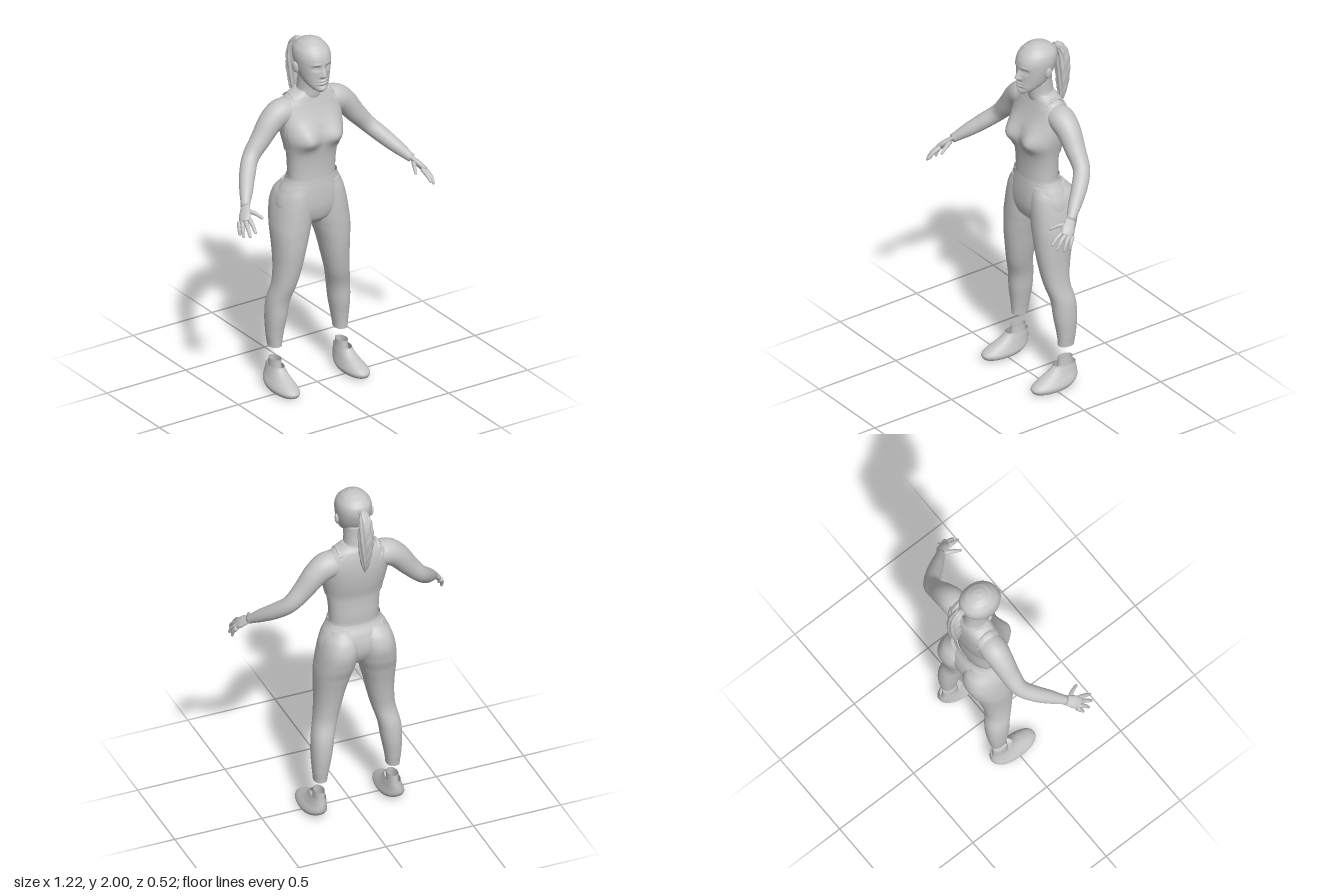
import * as THREE from 'three';

const grey = new THREE.MeshStandardMaterial({ color: 0xc6c6c6, side: THREE.DoubleSide });
grey.name = 'plain grey';

const V = (x, y, z) => new THREE.Vector3(x, y, z);
const bump = (d, r) => Math.exp(-(d * d) / (r * r));
const pow = (v, p) => Math.sign(v) * Math.abs(v) ** p;

function catmull(a, b, c, d, t) {
  return 0.5 * (2 * b + (c - a) * t + (2 * a - 5 * b + 4 * c - d) * t * t + (3 * b - a - 3 * c + d) * t ** 3);
}

// Row of a table at a given value of its first column
function rowAt(table, y) {
  let i = 0;
  while (i < table.length - 2 && y > table[i + 1][0]) i++;
  const t = (y - table[i][0]) / (table[i + 1][0] - table[i][0]);
  const at = k => table[Math.max(0, Math.min(table.length - 1, k))];
  return table[i].map((_, c) => (c ? catmull(at(i - 1)[c], at(i)[c], at(i + 1)[c], at(i + 2)[c], t) : y));
}

// Skin over closed rings of points, with optional end caps
function skin(name, rings, capStart = true, capEnd = true) {
  const n = rings[0].length, pos = [], idx = [];
  rings.forEach(r => r.forEach(p => pos.push(p.x, p.y, p.z)));
  for (let i = 0; i < rings.length - 1; i++) {
    for (let j = 0; j < n; j++) {
      const k = (j + 1) % n, a = i * n + j, b = i * n + k, c = a + n, d = b + n;
      idx.push(a, b, d, a, d, c);
    }
  }
  const cap = (row, flip) => {
    const m = V(0, 0, 0);
    rings[row].forEach(p => m.addScaledVector(p, 1 / n));
    const o = pos.length / 3;
    pos.push(m.x, m.y, m.z);
    for (let j = 0; j < n; j++) {
      const a = row * n + j, b = row * n + (j + 1) % n;
      idx.push(...(flip ? [o, b, a] : [o, a, b]));
    }
  };
  if (capStart) cap(0, true);
  if (capEnd) cap(rings.length - 1, false);
  const g = new THREE.BufferGeometry();
  g.setAttribute('position', new THREE.Float32BufferAttribute(pos, 3));
  g.setIndex(idx);
  g.computeVertexNormals();
  const mesh = new THREE.Mesh(g, grey);
  mesh.name = name;
  return mesh;
}

// Point on a level section; rows are [y, xMin, xMax, zFront, zBack]
function sectionPoint(table, y, a, s = 1, p = 0.9) {
  const [, x0, x1, zf, zb] = rowAt(table, y);
  return V(s * (x0 + x1) / 2 + (x1 - x0) / 2 * pow(Math.sin(a), p), y, (zf + zb) / 2 + (zf - zb) / 2 * pow(Math.cos(a), p));
}

function loft(name, table, { s = 1, n = 40, sub = 6, p = 0.9, rule = null, caps = [true, true] } = {}) {
  const rings = [];
  for (let i = 0; i <= (table.length - 1) * sub; i++) {
    const k = Math.min(table.length - 2, Math.floor(i / sub)), t = i / sub - k;
    const y = table[k][0] + (table[k + 1][0] - table[k][0]) * t;
    rings.push(Array.from({ length: n }, (_, j) => {
      const q = sectionPoint(table, y, j / n * Math.PI * 2, s, p);
      if (rule) rule(q);
      return q;
    }));
  }
  return skin(name, rings, ...caps);
}

// Tapered limb along points [x, y, z, radius]; wide is the broad direction
function limb(name, pts, { s = 1, n = 16, steps = 24, wide = [0, 0, 1], flat = 1, rule = null } = {}) {
  const curve = new THREE.CatmullRomCurve3(pts.map(p => V(p[0] * s, p[1], p[2])));
  const radii = pts.map((p, i) => [i, p[3]]), rings = [];
  for (let i = 0; i <= steps; i++) {
    const t = i / steps, c = curve.getPoint(t), tan = curve.getTangent(t);
    const u = V(wide[0] * s, wide[1], wide[2]);
    u.addScaledVector(tan, -u.dot(tan)).normalize();
    const v = tan.clone().cross(u), r = rowAt(radii, t * (pts.length - 1))[1];
    rings.push(Array.from({ length: n }, (_, j) => {
      const a = j / n * Math.PI * 2, k = rule ? r * rule(a, t) : r;
      return c.clone().addScaledVector(u, k * Math.cos(a)).addScaledVector(v, k * flat * Math.sin(a));
    }));
  }
  return skin(name, rings);
}

const sym = rows => rows.map(([y, w, f, b]) => [y, -w, w, f, b]);
const TORSO = sym([
  [1.19, .136, .033, -.145], [1.26, .138, .032, -.148], [1.32, .143, .035, -.147], [1.38, .152, .043, -.15],
  [1.45, .167, .05, -.165], [1.52, .178, .032, -.175], [1.58, .182, .008, -.178], [1.63, .168, -.01, -.174],
  [1.67, .13, -.022, -.165], [1.7, .075, -.03, -.15]]);
const PELVIS = sym([
  [.93, .07, -.01, -.11], [.97, .14, .03, -.16], [1.03, .2, .047, -.19], [1.09, .2, .05, -.195],
  [1.15, .175, .047, -.18], [1.195, .15, .043, -.157], [1.217, .145, .041, -.154]]);
const LEG = [
  [.235, .172, .243, -.05, -.14], [.3, .163, .25, -.045, -.15], [.4, .145, .255, -.03, -.16], [.5, .13, .25, -.02, -.157],
  [.6, .103, .23, .008, -.137], [.7, .078, .222, .027, -.145], [.8, .055, .223, .04, -.163], [.9, .028, .226, .045, -.188],
  [.96, .012, .221, .046, -.21], [1.05, .002, .207, .045, -.226], [1.12, .004, .186, .04, -.208], [1.18, .02, .15, .03, -.16]];
const HEAD = sym([
  [1.722, .02, .05, .005], [1.735, .04, .06, -.02], [1.76, .061, .062, -.075], [1.79, .075, .06, -.115],
  [1.83, .086, .06, -.143], [1.87, .093, .062, -.16], [1.91, .095, .06, -.169], [1.945, .087, .043, -.163],
  [1.975, .064, .012, -.135], [1.993, .034, -.022, -.095], [2, .004, -.05, -.06]]);
const NECK = sym([[1.62, .085, -.03, -.165], [1.67, .072, -.016, -.158], [1.71, .062, -.012, -.15], [1.76, .06, -.008, -.143], [1.81, .06, -.01, -.14]]);
const SHOE = [
  [0, .185, .262, .1, -.1], [.01, .164, .28, .125, -.132], [.03, .156, .287, .135, -.147], [.05, .16, .281, .118, -.151],
  [.075, .167, .268, .072, -.151], [.1, .172, .258, .022, -.149], [.132, .177, .25, -.012, -.146]];
const ANKLE = [[.09, .18, .243, -.035, -.135], [.13, .181, .241, -.04, -.132], [.165, .182, .24, -.042, -.13]];

// Bust swells only on the front of the torso
function bustRule(q) {
  if (q.z > -.03) q.z += .037 * bump(Math.abs(q.x) - .088, .06) * bump(q.y - 1.445, q.y > 1.445 ? .075 : .05);
}

// Nose, brow, eye sockets, lips and chin
function faceRule(q) {
  if (q.z < 0) return;
  const x = Math.abs(q.x), y = q.y;
  q.z += .026 * bump(x, .013) * bump(y - 1.822, y > 1.822 ? .035 : .012)
    + .008 * bump(x - .013, .009) * bump(y - 1.818, .01)
    - .013 * bump(x - .036, .02) * bump(y - 1.863, .014)
    + .006 * bump(x - .036, .011) * bump(y - 1.861, .007)
    + .005 * bump(x - .036, .025) * bump(y - 1.885, .009)
    + .009 * bump(x, .022) * (bump(y - 1.788, .006) + bump(y - 1.773, .007))
    - .005 * bump(x, .026) * bump(y - 1.7805, .003)
    - .005 * bump(x, .03) * bump(y - 1.76, .007)
    + .006 * bump(x, .022) * bump(y - 1.738, .012);
}

// Top edge of the bra by angle round the body, front to back
const BRA_TOP = [[0, 1.54], [.4, 1.55], [.75, 1.6], [.95, 1.668], [1.05, 1.668], [1.15, 1.585], [1.35, 1.5], [1.6, 1.49],
  [1.85, 1.51], [2.08, 1.668], [2.2, 1.668], [2.5, 1.605], [3.15, 1.585]];

function bra() {
  const n = 128, rows = 26, rings = [];
  for (let i = 0; i <= rows; i++) {
    rings.push(Array.from({ length: n }, (_, j) => {
      const a = j / n * Math.PI * 2, top = rowAt(BRA_TOP, Math.min(a, Math.PI * 2 - a))[1];
      const q = sectionPoint(TORSO, 1.372 + (Math.min(top, 1.67) - 1.372) * i / rows, a);
      bustRule(q);
      q.x += .007 * Math.sin(a);
      q.z += (Math.cos(a) < 0 ? .011 : .007) * Math.cos(a);
      return q;
    }));
  }
  return skin('braTop', rings, false, false);
}

// Finger rows: knuckle, middle joint, tip
const FINGERS = {
  indexFinger: [[.548, 1.172, .178], [.552, 1.148, .22], [.556, 1.12, .249]],
  middleFinger: [[.566, 1.165, .17], [.578, 1.134, .212], [.582, 1.1, .237]],
  ringFinger: [[.578, 1.158, .156], [.594, 1.126, .186], [.6, 1.09, .203]],
  littleFinger: [[.585, 1.152, .138], [.598, 1.121, .157], [.6, 1.09, .167]],
  thumb: [[.528, 1.198, .125], [.503, 1.19, .172], [.485, 1.174, .212]],
};

export function createModel() {
  const model = new THREE.Group();
  model.name = 'standingWoman';

  model.add(loft('torso', TORSO, { n: 64, rule: bustRule }), bra());
  model.add(loft('neck', NECK, { p: 1 }));
  model.add(loft('head', HEAD, { n: 120, sub: 9, p: 0.95, rule: faceRule }));
  model.add(loft('trouserSeat', PELVIS, { n: 48, caps: [true, false] }));

  // Ponytail with ridged strands and its tie
  model.add(limb('ponytail', [[0, 1.925, -.165, .012], [0, 1.935, -.19, .02], [0, 1.89, -.217, .034], [0, 1.8, -.224, .041],
    [0, 1.7, -.222, .034], [0, 1.62, -.217, .02], [0, 1.57, -.21, .003]],
  { n: 48, steps: 40, wide: [1, 0, 0], flat: .9, rule: (a, t) => 1 + .09 * Math.sin(a * 9 + t * 14) + .04 * Math.sin(a * 5 - t * 40) }));
  const tie = new THREE.Mesh(new THREE.TorusGeometry(.017, .007, 8, 20), grey);
  tie.position.set(0, 1.932, -.178);
  tie.name = 'hairTie';
  model.add(tie);

  for (const s of [1, -1]) {
    const side = s > 0 ? 'left' : 'right';

    model.add(loft(side + 'TrouserLeg', LEG, { s, caps: [false, true] }));
    model.add(loft(side + 'Ankle', ANKLE, { s, n: 24, p: 1, caps: [false, false] }));
    // The sole lifts a little toward the heel
    model.add(loft(side + 'Shoe', SHOE, { s, rule: q => {
      if (q.z < 0) q.y += .03 * (q.z / .15) ** 2 * (1 - q.y / .132);
    }, caps: [true, false] }));

    // Arm, palm and fingers
    model.add(limb(side + 'Arm', [[.08, 1.585, -.095, .066], [.165, 1.59, -.095, .073], [.225, 1.555, -.095, .067], [.3, 1.465, -.09, .055],
      [.37, 1.385, -.078, .046], [.43, 1.32, -.02, .043], [.48, 1.265, .045, .036], [.528, 1.212, .108, .024]], { s, n: 28, steps: 48 }));
    const wide = [.04, -.035, -.085];
    model.add(limb(side + 'Palm', [[.515, 1.226, .092, .025], [.537, 1.203, .12, .03], [.556, 1.18, .145, .036], [.572, 1.158, .167, .031]],
      { s, n: 20, wide, flat: .48 }));
    for (const [name, pts] of Object.entries(FINGERS)) {
      const [a, b, c] = pts, end = c.map((v, i) => v + (v - b[i]) * .08);
      model.add(limb(side + name[0].toUpperCase() + name.slice(1), [[...a, .013], [...b, .0105], [...c, .007], [...end, .002]],
        { s, n: 10, steps: 12, wide }));
    }

    // Shoulder strap joining front and back
    model.add(limb(side + 'ShoulderStrap', [[.11, 1.655, -.045, .009], [.112, 1.682, -.075, .009], [.112, 1.685, -.11, .009], [.11, 1.655, -.15, .009]],
      { s, n: 10, wide: [1, 0, 0], flat: .6 }));

    const ear = new THREE.Mesh(new THREE.SphereGeometry(1, 16, 12), grey);
    ear.scale.set(.011, .033, .019);
    ear.position.set(s * .097, 1.847, -.062);
    ear.rotation.set(-.15, s * -.35, s * -.15);
    ear.name = side + 'Ear';
    model.add(ear);
  }
  return model;
}
